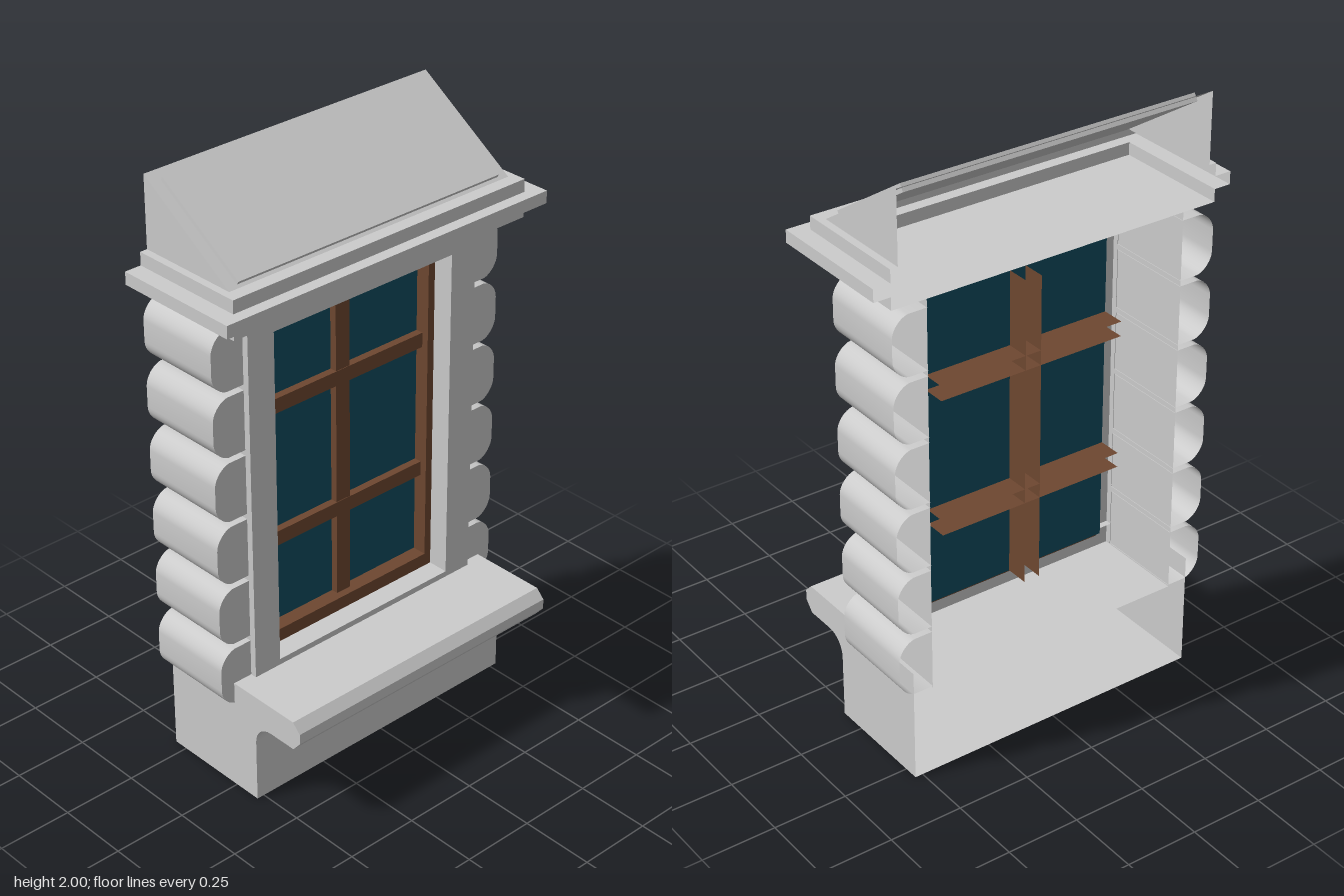
import * as THREE from 'three';
import { toCreasedNormals } from 'three/addons/utils/BufferGeometryUtils.js';

const material = (color) => new THREE.MeshStandardMaterial({ color, side: THREE.DoubleSide });
const BACK = -0.3; // every shell is open at this plane

// Open surface through equal-length rows of [x, y, z] points
function sheet(rows) {
  const n = rows[0].length, index = [];
  for (let r = 0; r < rows.length - 1; r++) {
    for (let i = 0; i < n - 1; i++) {
      const a = r * n + i, b = a + n;
      index.push(a, a + 1, b + 1, a, b + 1, b);
    }
  }
  const g = new THREE.BufferGeometry();
  g.setAttribute('position', new THREE.Float32BufferAttribute(rows.flat(2), 3));
  g.setIndex(index);
  return toCreasedNormals(g, 0.6);
}

// Closed rectangle loop at depth z
const rect = (x0, x1, y0, y1, z) =>
  [[x0, y0, z], [x1, y0, z], [x1, y1, z], [x0, y1, z], [x0, y0, z]];

// Flat end face in the z-y plane at a given x
function sideCap(points, x) {
  const shape = new THREE.Shape(points.map(([z, y]) => new THREE.Vector2(z, y)));
  return new THREE.ShapeGeometry(shape).rotateY(-Math.PI / 2).translate(x, 0, 0);
}

export function createModel() {
  const model = new THREE.Group();
  const stone = material(0xcccccc), wood = material(0x6e4730), pane = material(0x104d60);
  const add = (name, geometry, mat = stone, parent = model) => {
    const mesh = new THREE.Mesh(geometry, mat);
    mesh.name = name;
    parent.add(mesh);
    return mesh;
  };
  const group = (name) => {
    const g = new THREE.Group();
    g.name = name;
    model.add(g);
    return g;
  };

  // Stone surround: outer walls, front face and reveal
  const hole = [-0.358, 0.356, 0.41, 1.555], inner = [-0.332, 0.33, 0.455, 1.51];
  const outer = [-0.457, 0.457, 0.31, 1.638];
  add('surround', sheet([
    rect(...outer, BACK), rect(...outer, 0.022), rect(...hole, 0.022), rect(...hole, -0.05),
  ]));

  // Wooden frame and glass
  add('windowFrame', sheet([rect(...hole, -0.05), rect(...inner, -0.05), rect(...inner, -0.1)]), wood);
  add('glass', new THREE.PlaneGeometry(0.662, 1.055).translate(-0.001, 0.9825, -0.1), pane);

  // Glazing bars: channels open to the back
  const bars = group('glazingBars');
  const zBar = -0.18;
  const channel = (lo, hi, front) => [[lo, zBar], [lo, front], [hi, front], [hi, zBar]];
  add('uprightBar', sheet([inner[2], inner[3]].map((y) =>
    channel(-0.03, 0.026, -0.076).map(([x, z]) => [x, y, z]))), wood, bars);
  for (const y0 of [0.745, 1.21]) {
    add('crossBar', sheet([inner[0], inner[1]].map((x) =>
      channel(y0, y0 + 0.05, -0.074).map(([y, z]) => [x, y, z]))), wood, bars);
  }

  // Base with a coved, projecting sill
  const cove = Array.from({ length: 9 }, (_, i) => {
    const t = (i / 8) * Math.PI / 2;
    return [0.167 - 0.07 * Math.cos(t), 0.22 + 0.07 * Math.sin(t)];
  });
  const sillProfile = [[BACK, 0], [0.097, 0], ...cove,
    [0.27, 0.29], [0.3, 0.325], [0.3, 0.36], [0.27, 0.39], [0.0, 0.39]];
  const base = group('baseAndSill');
  add('sillBody', sheet([0.526, -0.526].map((x) => sillProfile.map(([z, y]) => [x, y, z]))), stone, base);
  for (const x of [-0.526, 0.526]) add('sillEnd', sideCap([...sillProfile, [BACK, 0.39]], x), stone, base);

  // Rounded side blocks, six on each side
  const blocks = group('sideBlocks');
  const blockShape = new THREE.Shape();
  blockShape.moveTo(0.455, 0);
  blockShape.lineTo(0.52, 0);
  blockShape.bezierCurveTo(0.548, 0.004, 0.575, 0.035, 0.575, 0.065);
  blockShape.lineTo(0.575, 0.135);
  blockShape.bezierCurveTo(0.575, 0.165, 0.548, 0.196, 0.52, 0.2);
  blockShape.lineTo(0.455, 0.2);
  const outline = blockShape.getPoints(8);
  for (const side of [-1, 1]) {
    for (let i = 0; i < 6; i++) {
      const y0 = 0.316 + i * 0.219;
      add('blockShell', sheet([BACK, 0].map((z) =>
        outline.map((p) => [side * p.x, y0 + p.y, z]))), stone, blocks);
      const face = new THREE.Shape(outline.map((p) => new THREE.Vector2(side * p.x, y0 + p.y)));
      add('blockFace', new THREE.ShapeGeometry(face), stone, blocks);
    }
  }

  // Stepped cornice wrapping three sides: [half width, front z, height]
  const steps = [[0.457, 0.022, 1.638], [0.575, 0.105, 1.638], [0.575, 0.105, 1.68], [0.632, 0.145, 1.68],
    [0.632, 0.145, 1.722], [0.575, 0.105, 1.722], [0.575, 0.105, 1.765], [0.55, 0.06, 1.765]];
  add('cornice', sheet(steps.map(([w, z, y]) => [[-w, y, BACK], [-w, y, z], [w, y, z], [w, y, BACK]])));

  // Sloping hood with a raised panel
  const hood = group('hood');
  const slope = [[0.06, 1.765], [BACK, 2]];
  add('hoodSlope', sheet([0.55, -0.55].map((x) => slope.map(([z, y]) => [x, y, z]))), stone, hood);
  for (const x of [-0.55, 0.55]) add('hoodEnd', sideCap([...slope, [BACK, 1.765]], x), stone, hood);
  const panel = add('hoodPanel', new THREE.BoxGeometry(1.026, 0.026, 0.382), stone, hood);
  panel.position.set(0, 1.876, -0.11);
  panel.rotation.x = Math.atan2(0.235, 0.36);

  return model;
}
